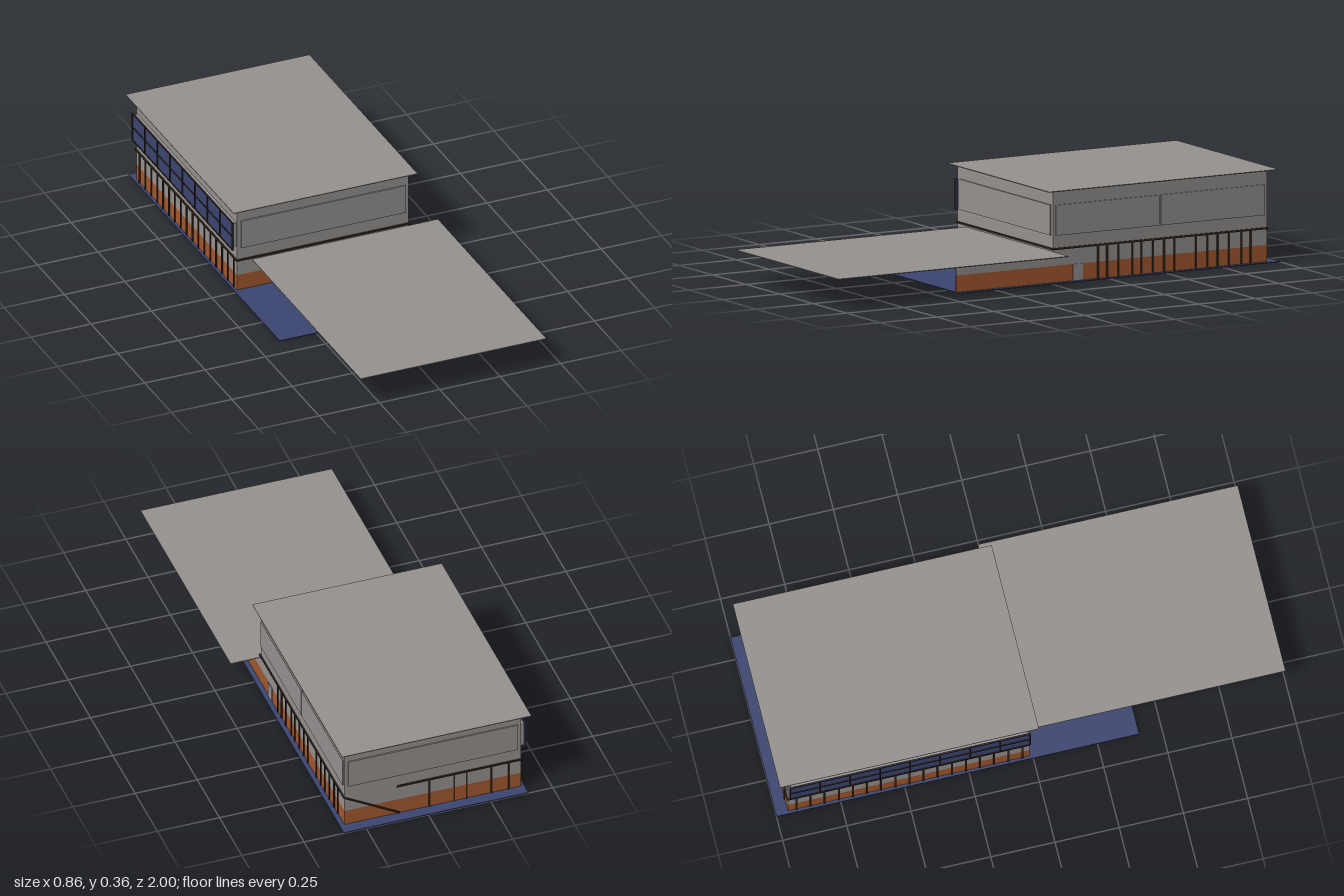
import * as THREE from 'three';

const mat = (name, color) => {
  const m = new THREE.MeshStandardMaterial({ color });
  m.name = name;
  return m;
};

export function createModel() {
  const grey = mat('concreteGrey', 0x95918f);
  const orange = mat('terracotta', 0xa2582e);
  const navy = mat('navyBlue', 0x3b4570);
  const brown = mat('darkBrown', 0x35261c);
  const model = new THREE.Group();
  model.name = 'building';

  // Box given by its bounds
  const box = (name, m, x0, x1, y0, y1, z0, z1, parent = model) => {
    const mesh = new THREE.Mesh(new THREE.BoxGeometry(x1 - x0, y1 - y0, z1 - z0), m);
    mesh.position.set((x0 + x1) / 2, (y0 + y1) / 2, (z0 + z1) / 2);
    mesh.name = name;
    parent.add(mesh);
    return mesh;
  };
  const group = (name) => {
    const g = new THREE.Group();
    g.name = name;
    model.add(g);
    return g;
  };

  const L = -0.39, R = 0.32, F = -0.012, B = -0.953, T = 0.006;

  // Floor slab and the two thin roof sheets
  box('floorSlab', navy, -0.402, 0.34, 0, 0.003, -1, 0.412);
  box('mainRoof', grey, -0.418, 0.343, 0.354, 0.357, -0.99, 0.018);
  box('frontCanopy', grey, -0.328, 0.441, 0.119, 0.122, -0.012, 1);

  // Ground floor walls: orange below, grey above
  const lower = group('groundFloor');
  const twoTone = (name, x0, x1, z0, z1, top = 0.13) => {
    box(name + 'Base', orange, x0, x1, 0.003, 0.067, z0, z1, lower);
    box(name + 'Top', grey, x0, x1, 0.067, top, z0, z1, lower);
  };
  twoTone('frontWall', L, R, F - T, F);
  twoTone('backWall', L, R, B, B + T);
  twoTone('leftWall', R - T, R, B, F);
  twoTone('rightWall', L, L + T, B, F);
  twoTone('annexWall', R - T, R, F, 0.412, 0.12);
  box('sideDoor', grey, R, R + 0.003, 0.003, 0.067, -0.142, -0.1, lower);

  // Front door jambs and handle
  box('doorJamb', brown, -0.1425, -0.1395, 0.003, 0.12, F, F + 0.002, lower);
  box('doorHandle', brown, -0.142, -0.137, 0.1, 0.108, F, F + 0.006, lower);

  // Upper floor
  const upper = group('upperFloor');
  box('upperFrontWall', grey, L, R, 0.13, 0.355, F - T, F, upper);
  box('upperBackWall', grey, L, R, 0.13, 0.355, B, B + T, upper);
  box('upperLeftWall', grey, R - T, R, 0.13, 0.355, B, F, upper);
  box('upperRightWall', grey, L, L + T, 0.13, 0.355, B, F, upper);

  // Shallow panels on the upper walls
  const P = 0.005;
  box('frontPanel', grey, -0.375, 0.306, 0.183, 0.3, F, F + P, upper);
  box('backPanel', grey, -0.375, 0.306, 0.183, 0.3, B - P, B, upper);
  box('sidePanelFront', grey, R, R + P, 0.183, 0.3, -0.478, F - 0.012, upper);
  box('sidePanelBack', grey, R, R + P, 0.183, 0.3, B + 0.012, -0.484, upper);

  // Long projecting window with a grid of bars
  const win = group('windowBand');
  box('windowBox', grey, -0.404, L, 0.19, 0.29, -0.945, -0.02, win);
  box('windowGlass', navy, -0.408, -0.404, 0.178, 0.296, -0.95, -0.012, win);
  for (const y of [0.178, 0.235, 0.293]) box('windowRail', brown, -0.411, -0.407, y, y + 0.004, -0.95, -0.012, win);
  for (let i = 0; i <= 8; i++) {
    const z = -0.95 + (i * 0.934) / 8;
    box('windowBar', brown, -0.411, -0.407, 0.178, 0.297, z, z + 0.005, win);
  }

  // Dark rail between the floors
  const rail = group('rail');
  const y0 = 0.128, y1 = 0.135;
  box('frontRail', brown, L - 0.003, R + 0.005, y0, y1, F, F + 0.005, rail);
  box('leftRail', brown, R, R + 0.005, y0, y1, B, F, rail);
  box('rightRail', brown, L - 0.005, L, y0, y1, B, F, rail);
  box('backRail', brown, L - 0.003, 0.11, y0, y1, B - 0.005, B, rail);

  // Sloping stair rail on the back wall
  const rise = 0.125, run = 0.22;
  const stair = box('stairRail', brown, -Math.hypot(rise, run) / 2, Math.hypot(rise, run) / 2, 0, 0.006, B - 0.005, B, rail);
  stair.position.set(0.21, 0.068, B - 0.0025);
  stair.rotation.z = Math.atan2(rise, run);

  // Posts along both sides and the back
  const posts = group('posts');
  for (const z of [-0.21, -0.25, -0.3, -0.36, -0.4, -0.45, -0.5, -0.545, -0.64, -0.69, -0.735, -0.785, -0.84, -0.88]) {
    box('leftPost', brown, R, R + 0.004, 0.003, 0.13, z - 0.0035, z + 0.0035, posts);
  }
  for (let i = 0; i < 17; i++) {
    const z = -0.92 + i * 0.055;
    box('rightPost', brown, L - 0.004, L, 0.003, 0.13, z - 0.0035, z + 0.0035, posts);
  }
  for (const x of [-0.34, -0.27, -0.17, -0.12, -0.02]) {
    box('backPost', brown, x - 0.003, x + 0.003, 0.003, 0.13, B - 0.004, B, posts);
  }

  return model;
}
